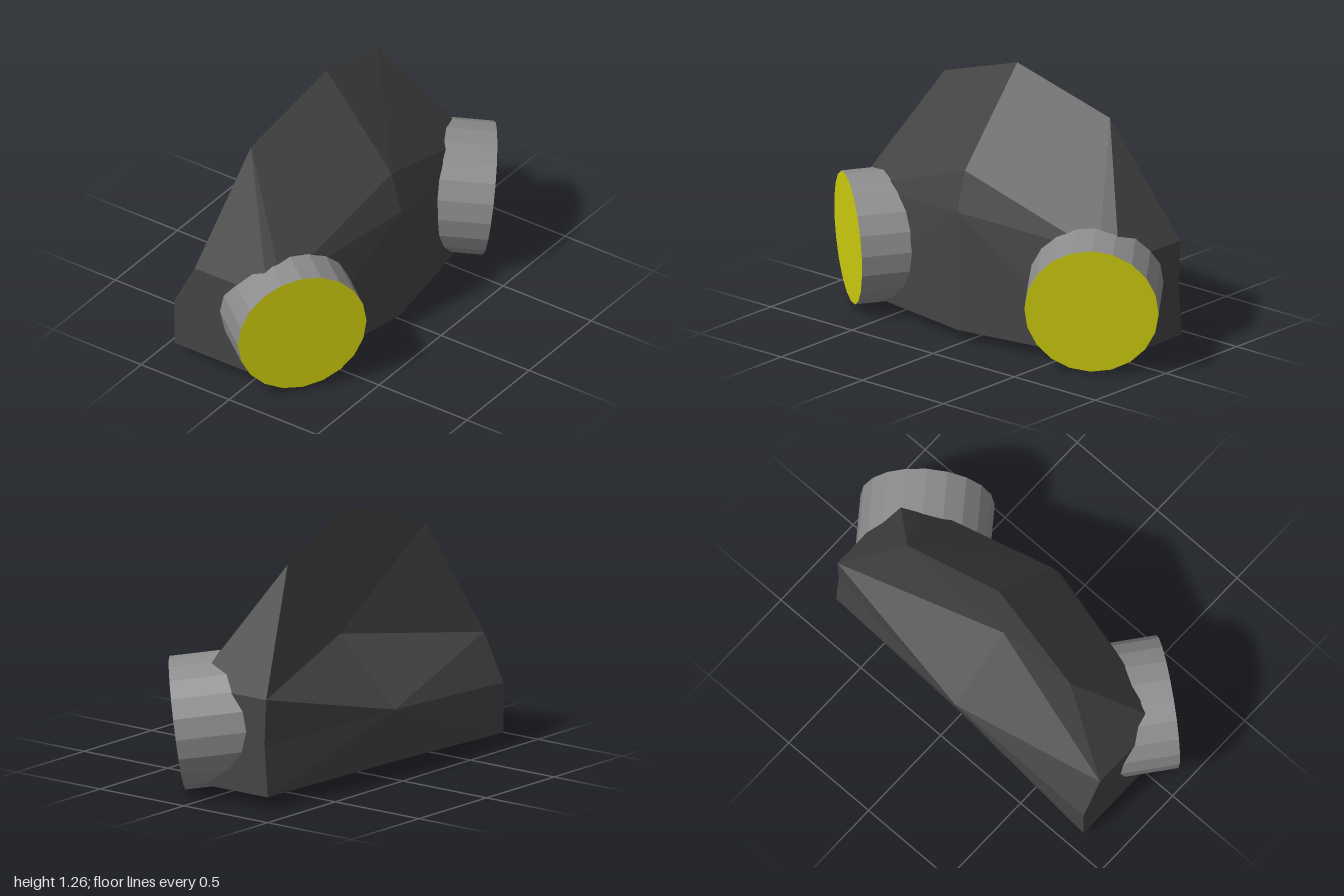
import * as THREE from 'three';

const shellMat = new THREE.MeshStandardMaterial({ name: 'dark shell', color: 0x444444, flatShading: true });
const housingMat = new THREE.MeshStandardMaterial({ name: 'grey housing', color: 0x8c8c8c, flatShading: true });
const lensMat = new THREE.MeshStandardMaterial({ name: 'yellow lens', color: 0xd2d20f, flatShading: true });

// Points on the centre line of the shell
const CENTRE = {
  peak: [-0.03, 1.265, -0.13],
  ridge: [-0.03, 0.83, 0.24],
  brow: [-0.03, 0.64, 0.295],
  toe: [-0.03, 0.06, 0.295],
  heel: [-0.03, 0.06, -0.37],
  backLow: [-0.03, 0.33, -0.43],
  hollow: [-0.03, 0.64, -0.1],
};

// Points on each flank; the rear edge differs between the two sides
const flank = (s, rear) => {
  const x = (d) => -0.03 + s * d;
  const edge = s > 0 ? 0.8 : -0.83;
  return {
    shoulder: [x(0.51), 1.09, -0.2],
    cheek: [x(0.73), 0.56, 0.13],
    sideTop: [edge, 0.525, 0.1],
    sideToe: [edge, 0.06, 0.16],
    rearTop: [edge, 0.525, rear[0]],
    rearMid: [edge, 0.3, rear[1]],
    rearLow: [edge, 0.06, rear[2]],
  };
};

// Facets of the +x half; the other half uses them reversed
const FACETS = [
  // front
  'ridge shoulder peak', 'ridge cheek shoulder', 'brow cheek ridge',
  'brow sideToe cheek', 'brow toe sideToe', 'cheek sideToe sideTop',
  // flank
  'cheek sideTop shoulder', 'sideTop rearTop shoulder',
  'sideTop sideToe rearLow', 'sideTop rearLow rearMid', 'sideTop rearMid rearTop',
  // hollow back
  'shoulder hollow peak', 'shoulder rearTop hollow', 'rearTop backLow hollow',
  'rearTop rearMid backLow', 'rearMid rearLow backLow', 'rearLow heel backLow',
  // underside
  'toe heel rearLow', 'toe rearLow sideToe',
].map((f) => f.split(' '));

function buildShell() {
  const pos = [];
  for (const [s, rear] of [[1, [-0.33, -0.32, -0.34]], [-1, [-0.315, -0.43, -0.43]]]) {
    const pts = { ...CENTRE, ...flank(s, rear) };
    for (const [a, b, c] of FACETS) {
      const order = s > 0 ? [a, b, c] : [a, c, b];
      for (const n of order) pos.push(...pts[n]);
    }
  }
  const geo = new THREE.BufferGeometry();
  geo.setAttribute('position', new THREE.Float32BufferAttribute(pos, 3));
  geo.computeVertexNormals();
  const mesh = new THREE.Mesh(geo, shellMat);
  mesh.name = 'shell';
  return mesh;
}

// Drum set into the shell, pointing outwards and slightly down, lens on both ends
function buildLamp(name, s, y, tilt) {
  const length = 0.42;
  const dir = new THREE.Vector3(s * 0.605, -tilt, 0.796).normalize();
  const geo = new THREE.CylinderGeometry(0.313, 0.313, length, 20);
  const lamp = new THREE.Mesh(geo, [housingMat, lensMat, lensMat]);
  lamp.name = name;
  lamp.quaternion.setFromUnitVectors(new THREE.Vector3(0, 1, 0), dir);
  lamp.position.set(s * 0.75, y, 0.24).addScaledVector(dir, -length / 2);
  return lamp;
}

export function createModel() {
  const group = new THREE.Group();
  group.name = 'twinLampHousing';
  group.add(
    buildShell(),
    buildLamp('leftLamp', 1, 0.315, 0.13),
    buildLamp('rightLamp', -1, 0.335, 0.04),
  );
  return group;
}
